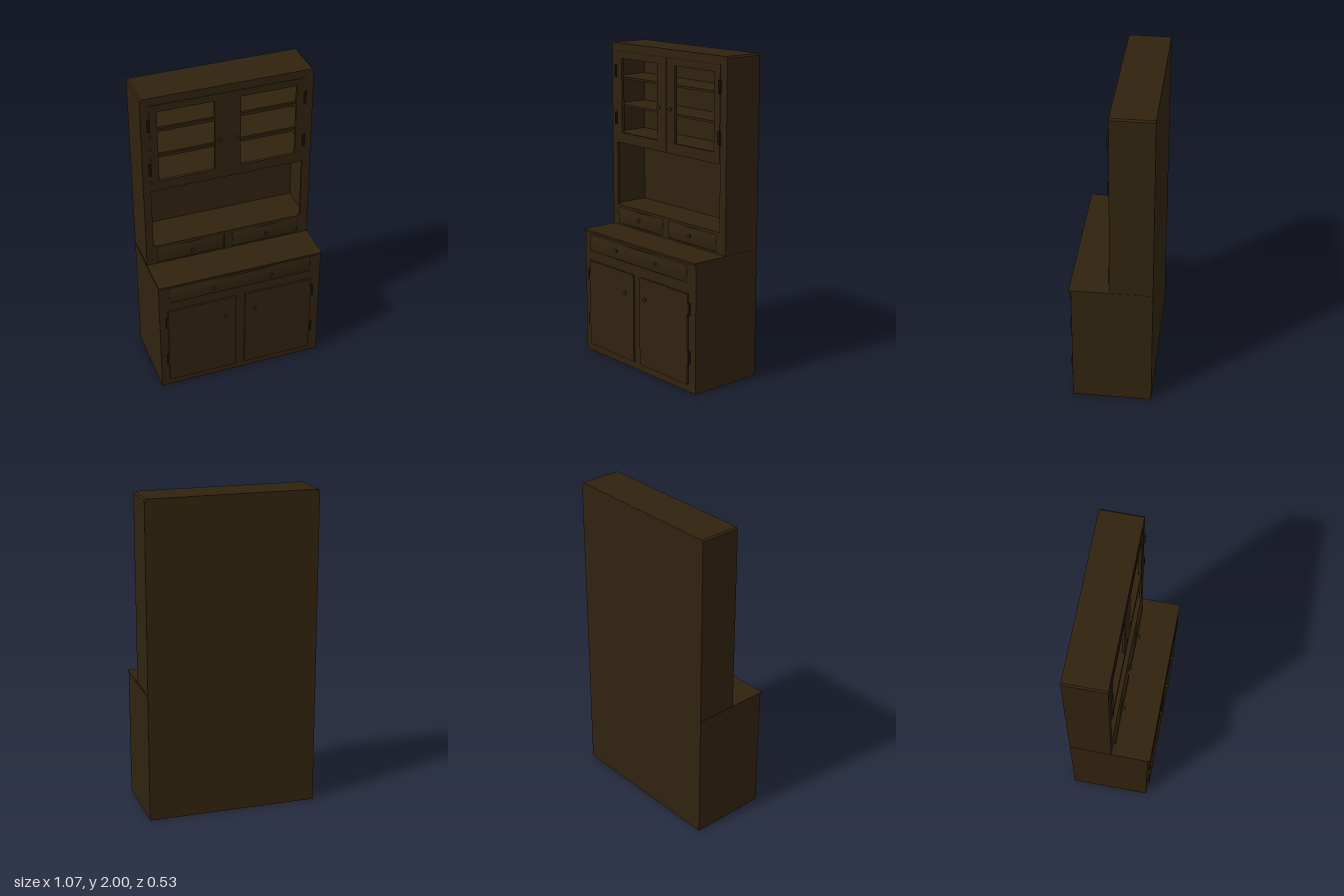
import * as THREE from 'three';
import { mergeVertices } from 'three/addons/utils/BufferGeometryUtils.js';

const wood = new THREE.MeshStandardMaterial({ color: 0x30230f });
wood.name = 'dark wood';
const iron = new THREE.MeshStandardMaterial({ color: 0x1c140a });
iron.name = 'dark iron';

// rectangular outline or hole
function rect(x0, x1, y0, y1, Type = THREE.Path) {
  const p = new Type();
  p.moveTo(x0, y0);
  p.lineTo(x1, y0);
  p.lineTo(x1, y1);
  p.lineTo(x0, y1);
  p.closePath();
  return p;
}

function add(group, name, geometry, material = wood) {
  const mesh = new THREE.Mesh(geometry, material);
  mesh.name = name;
  group.add(mesh);
  return mesh;
}

// box given by its limits
function slab(group, name, x0, x1, y0, y1, z0, z1, material = wood) {
  const m = add(group, name, new THREE.BoxGeometry(x1 - x0, y1 - y0, z1 - z0), material);
  m.position.set((x0 + x1) / 2, (y0 + y1) / 2, (z0 + z1) / 2);
  return m;
}

function plate(group, name, shape, z0, z1) {
  const m = add(group, name, new THREE.ExtrudeGeometry(shape, { depth: z1 - z0, bevelEnabled: false }));
  m.position.z = z0;
  return m;
}

// drawer front with sloping edges and soft shading
function drawerFront(group, name, x0, x1, y0, y1, z0, z1) {
  const w = x1 - x0, h = y1 - y0, d = z1 - z0, inset = 0.012;
  let g = new THREE.BoxGeometry(w, h, d);
  const p = g.attributes.position;
  for (let i = 0; i < p.count; i++) {
    if (p.getZ(i) > 0) {
      p.setX(i, Math.sign(p.getX(i)) * (w / 2 - inset));
      p.setY(i, Math.sign(p.getY(i)) * (h / 2 - inset));
    }
  }
  g.deleteAttribute('normal');
  g.deleteAttribute('uv');
  g = mergeVertices(g);
  g.computeVertexNormals();
  add(group, name, g).position.set((x0 + x1) / 2, (y0 + y1) / 2, (z0 + z1) / 2);
}

// knob flaring out towards the front
function knob(group, x, y, z) {
  const g = new THREE.CylinderGeometry(0.015, 0.004, 0.02, 12);
  g.rotateX(Math.PI / 2);
  add(group, 'knob', g).position.set(x, y, z + 0.01);
}

export function createModel() {
  const model = new THREE.Group();
  model.name = 'kitchenDresser';
  const W = 0.535, back = -0.262;

  // lower cabinet and worktop
  const base = new THREE.Group();
  base.name = 'lowerCabinet';
  model.add(base);
  slab(base, 'baseBody', -W, W, 0, 0.803, back, 0.232);
  slab(base, 'worktop', -0.537, 0.537, 0.803, 0.815, back, 0.246);
  drawerFront(base, 'longDrawer', -0.474, 0.468, 0.677, 0.792, 0.232, 0.249);
  slab(base, 'rightDoor', -0.482, -0.035, 0.048, 0.615, 0.232, 0.243);
  slab(base, 'leftDoor', 0.025, 0.472, 0.048, 0.615, 0.232, 0.243);

  // upper shell with slightly clipped top corners
  const hutch = new THREE.Group();
  hutch.name = 'upperCabinet';
  model.add(hutch);
  const outline = () => {
    const s = new THREE.Shape();
    s.moveTo(-W, 0.815);
    s.lineTo(W, 0.815);
    s.lineTo(W, 1.99);
    s.lineTo(W - 0.01, 2);
    s.lineTo(-W + 0.01, 2);
    s.lineTo(-W, 1.99);
    s.closePath();
    return s;
  };
  const shell = outline();
  shell.holes.push(rect(-0.515, 0.515, 0.95, 1.98));
  plate(hutch, 'shell', shell, back + 0.015, -0.015);
  plate(hutch, 'backPanel', outline(), back, back + 0.015);

  // face frame with window openings and the open niche
  const windows = () => [rect(-0.435, -0.085, 1.43, 1.905), rect(0.077, 0.43, 1.43, 1.905)];
  const frame = outline();
  frame.holes.push(...windows(), rect(-0.488, 0.482, 0.95, 1.362));
  plate(hutch, 'faceFrame', frame, -0.015, 0);

  // pair of open upper doors panels, a hair proud of the frame
  [[-0.482, -0.003], [0.003, 0.48]].forEach(([x0, x1], i) => {
    const door = rect(x0, x1, 1.372, 1.95, THREE.Shape);
    door.holes.push(windows()[i]);
    plate(hutch, i ? 'leftUpperDoor' : 'rightUpperDoor', door, 0, 0.004);
  });

  // shelves and niche ceiling
  slab(hutch, 'nicheCeiling', -0.515, 0.515, 1.362, 1.425, back + 0.015, -0.015);
  for (const y of [1.602, 1.78]) {
    slab(hutch, 'shelf', -0.515, 0.515, y - 0.007, y + 0.007, back + 0.015, -0.02);
  }

  // small drawers
  drawerFront(hutch, 'rightSmallDrawer', -0.474, -0.024, 0.824, 0.94, 0, 0.017);
  drawerFront(hutch, 'leftSmallDrawer', 0.02, 0.468, 0.824, 0.94, 0, 0.017);

  // knobs: x, y, z of the surface behind
  const knobs = [
    [-0.057, 1.64, 0.003], [0.05, 1.64, 0.003],
    [-0.245, 0.886, 0.015], [0.242, 0.886, 0.015],
    [-0.186, 0.742, 0.245], [0.193, 0.742, 0.245],
    [-0.107, 0.486, 0.24], [0.088, 0.486, 0.24],
  ];
  knobs.forEach(k => knob(model, ...k));

  // hinges on both sides of every door pair
  for (const x of [-0.489, 0.482]) {
    for (const [y, z] of [[1.822, 0], [1.52, 0], [0.522, 0.23], [0.22, 0.23]]) {
      slab(model, 'hinge', x - 0.007, x + 0.007, y - 0.039, y + 0.039, z, z + 0.015, iron);
    }
  }
  return model;
}
